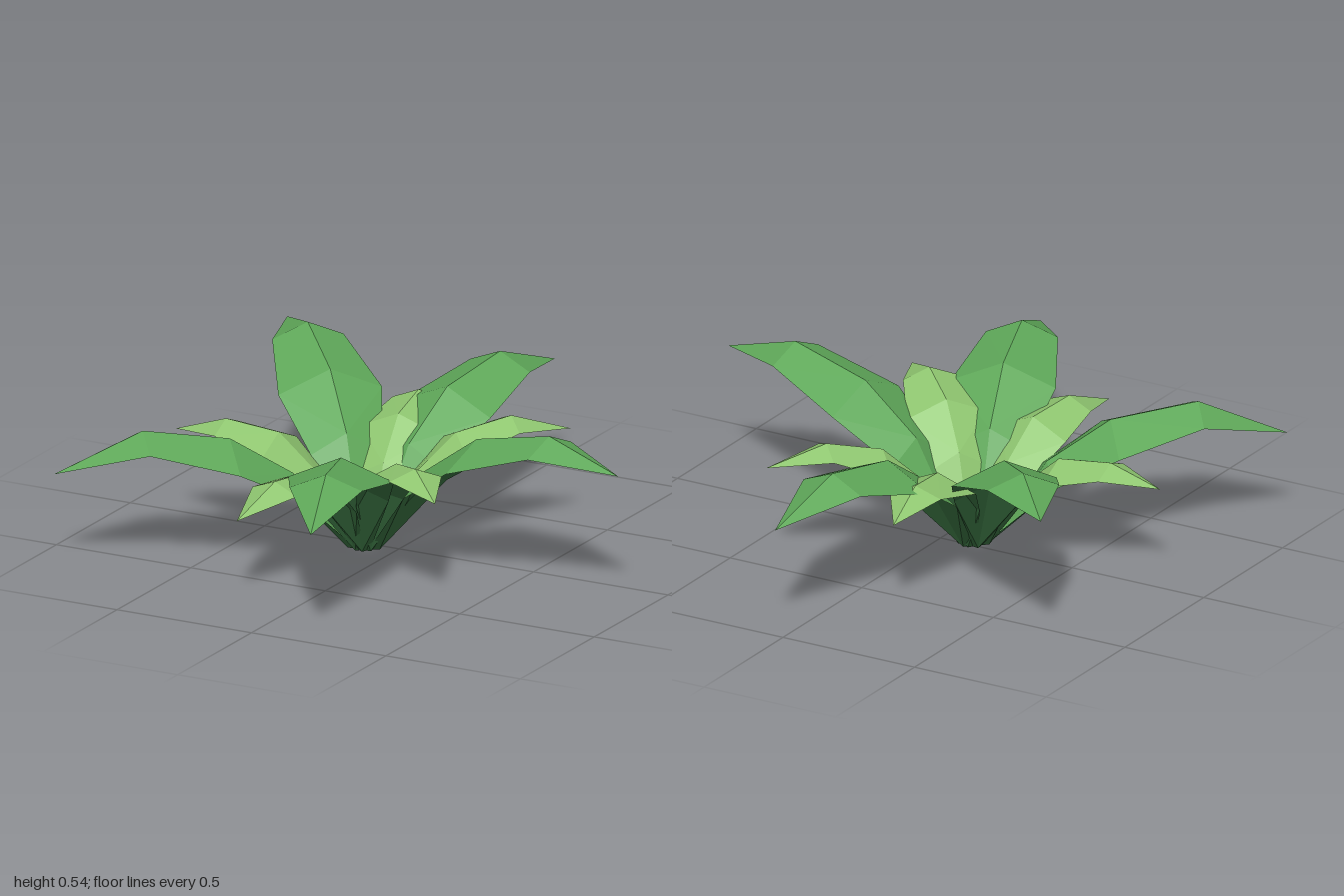
import * as THREE from 'three';

const CX = -0.11, CZ = 0.03; // heart of the rosette

// Each leaf: [tip x, tip z, knee height, crest height, tip height]
const BIG = [
  [0.90, 0.155, 0.455, 0.52, 0.435],
  [0.03, -1.0, 0.43, 0.475, 0.37],
  [-0.80, -0.70, 0.465, 0.535, 0.47],
  [-0.90, 0.70, 0.40, 0.445, 0.315],
  [0.22, 1.0, 0.45, 0.485, 0.37],
];
const SMALL = [
  [0.405, 0.495, 0.38, 0.42, 0.36],
  [0.375, -0.48, 0.36, 0.40, 0.335],
  [-0.21, -0.65, 0.36, 0.385, 0.315],
  [-0.79, 0.075, 0.35, 0.37, 0.31],
  [-0.20, 0.735, 0.34, 0.355, 0.275],
];

// Cross-sections from stalk to tip: a raised rib with an edge on each side.
// The top and underside share their edges and part slightly along the rib.
function leafGeometries([tx, tz, knee, crest, tip], small) {
  const len = Math.hypot(tx - CX, tz - CZ);
  const ux = (tx - CX) / len, uz = (tz - CZ) / len;
  // [rib radius, rib height, half width, edge height, edge radius]
  const stations = small ? [
    [0.050, 0, 0.021, 0, 0.030],
    [0.17, knee * 0.65, 0.09, knee * 0.52, 0.17],
    [0.31, knee, 0.135, knee - 0.055, 0.31],
    [0.50, crest, 0.09, crest - 0.035, 0.50],
    [len, tip, 0, tip, len],
  ] : [
    [0.053, 0, 0.022, 0, 0.030],
    [0.24, knee * 0.67, 0.12, knee * 0.53, 0.24],
    [0.45, knee, 0.175, knee - 0.075, 0.45],
    [0.74, crest, 0.12, crest - 0.05, 0.74],
    [len, tip, 0, tip, len],
  ];
  const at = (side, y, r) => [CX + ux * r + uz * side, y, CZ + uz * r - ux * side];

  const sheet = (out, down, flip) => {
    const rows = stations.map(([r, y, w, ey, er]) => {
      const rib = w > 0 ? at(0, Math.max(0, y - down), r + out) : at(0, y, r);
      return [at(w, ey, er), rib, at(-w, ey, er)];
    });
    const points = [];
    const tri = (a, b, c) => points.push(...a, ...(flip ? c : b), ...(flip ? b : c));
    for (let i = 0; i < rows.length - 1; i++) {
      const [l0, m0, r0] = rows[i], [l1, m1, r1] = rows[i + 1];
      tri(m0, l1, l0);
      tri(m0, r0, r1);
      if (i < rows.length - 2) { // the last span closes to a point
        tri(m0, m1, l1);
        tri(m0, r1, m1);
      }
    }
    const g = new THREE.BufferGeometry();
    g.setAttribute('position', new THREE.Float32BufferAttribute(points, 3));
    g.computeVertexNormals();
    return g;
  };
  return [sheet(0, 0, false), sheet(0.005, 0.008, true)];
}

export function createModel() {
  const makeMaterial = (name, color) => {
    const m = new THREE.MeshStandardMaterial({ color, flatShading: true });
    m.name = name;
    return m;
  };
  const leafGreen = makeMaterial('leafGreen', 0x5fa859);
  const youngGreen = makeMaterial('youngLeafGreen', 0x8fc670);
  const underGreen = makeMaterial('undersideGreen', 0x3a7342);

  const plant = new THREE.Group();
  plant.name = 'leafyPlant';

  function addLeaves(list, small, name, material) {
    list.forEach((spec, i) => {
      const leaf = new THREE.Group();
      leaf.name = name + (i + 1);
      const [top, under] = leafGeometries(spec, small);
      const upper = new THREE.Mesh(top, material);
      upper.name = 'leafTop';
      const lower = new THREE.Mesh(under, underGreen);
      lower.name = 'leafUnderside';
      leaf.add(upper, lower);
      plant.add(leaf);
    });
  }

  addLeaves(BIG, false, 'largeLeaf', leafGreen);
  addLeaves(SMALL, true, 'smallLeaf', youngGreen);
  return plant;
}
